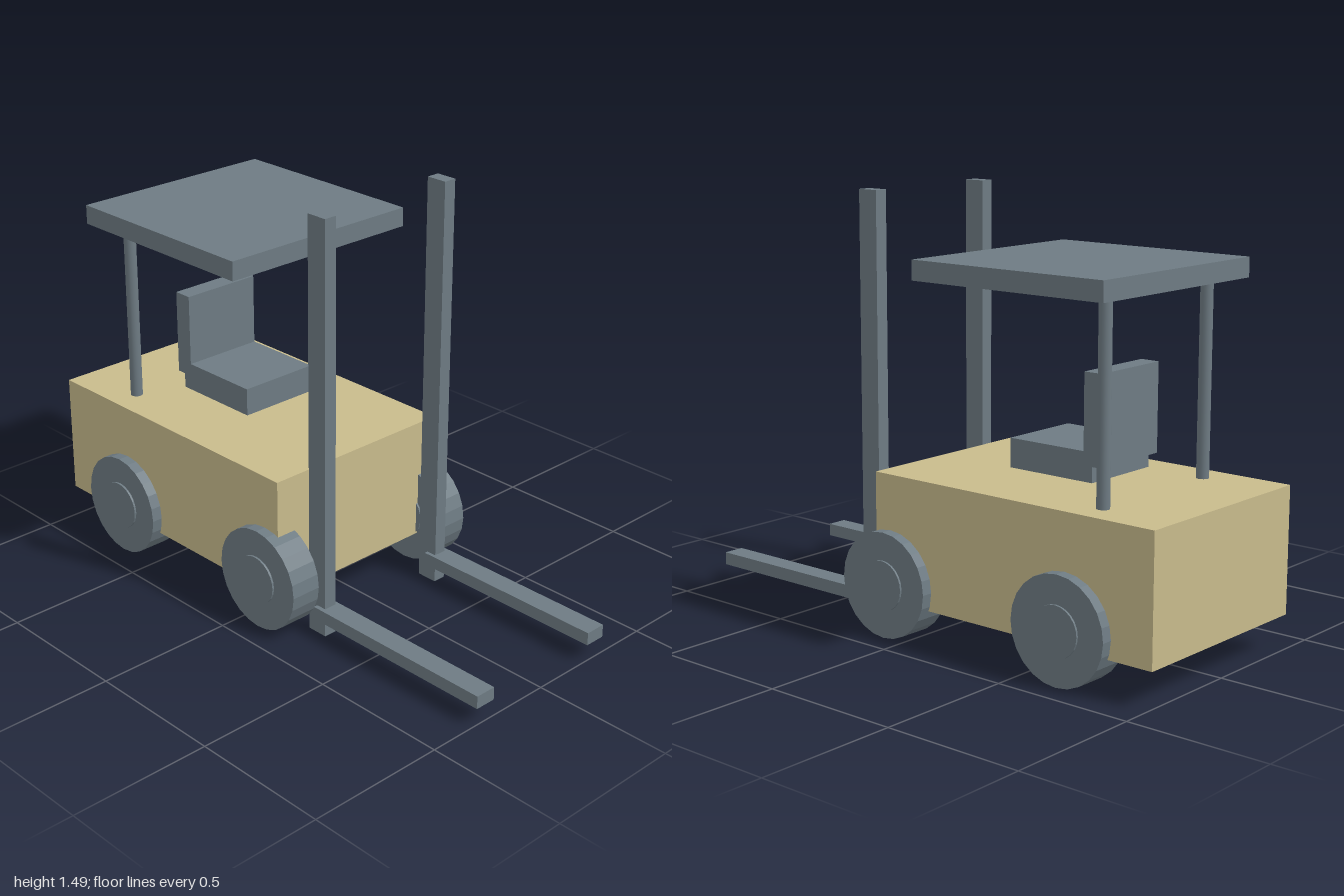
import * as THREE from 'three';

export function createModel() {
  const model = new THREE.Group();
  model.name = 'forklift';
  const tan = new THREE.MeshStandardMaterial({ color: 0xc8bb8c });
  tan.name = 'tan paint';
  const grey = new THREE.MeshStandardMaterial({ color: 0x6e7b83 });
  grey.name = 'slate grey';

  function add(name, geometry, material, parent = model) {
    const mesh = new THREE.Mesh(geometry, material);
    mesh.name = name;
    parent.add(mesh);
    return mesh;
  }

  // Box given by its limits on each axis
  function box(name, [x0, x1], [y0, y1], [z0, z1], material) {
    const mesh = add(name, new THREE.BoxGeometry(x1 - x0, y1 - y0, z1 - z0), material);
    mesh.position.set((x0 + x1) / 2, (y0 + y1) / 2, (z0 + z1) / 2);
    return mesh;
  }

  // Faceted cylinder lying along x
  function disc(radius, width) {
    return new THREE.CylinderGeometry(radius, radius, width, 24).toNonIndexed().rotateZ(Math.PI / 2);
  }
  const faceted = (geometry) => {
    geometry.computeVertexNormals();
    return geometry;
  };

  // Body, seat and roof
  box('body', [-0.375, 0.375], [0.12, 0.56], [-1, 0.15], tan);
  box('seatCushion', [-0.152, 0.152], [0.597, 0.697], [-0.592, -0.252], grey);
  box('seatBack', [-0.152, 0.152], [0.65, 0.955], [-0.626, -0.557], grey);
  box('roof', [-0.39, 0.39], [1.222, 1.29], [-0.81, -0.035], grey);

  const tyre = faceted(disc(0.184, 0.115));
  const hub = faceted(disc(0.087, 0.13));
  const post = new THREE.CylinderGeometry(0.022, 0.022, 0.67, 16);

  for (const s of [1, -1]) {
    const side = s > 0 ? 'left' : 'right';
    const span = (a, b) => (s > 0 ? [a, b] : [-b, -a]);

    // Mast rail and fork
    box(side + 'Mast', span(0.245, 0.293), [0, 1.492], [0.215, 0.293], grey);
    box(side + 'Fork', span(0.231, 0.309), [0.06, 0.106], [0.255, 1], grey);

    // Rear roof post
    add(side + 'RoofPost', post, grey).position.set(s * 0.27, 0.89, -0.728);

    // Wheels
    for (const [end, z] of [['Front', 0.085], ['Rear', -0.66]]) {
      const wheel = new THREE.Group();
      wheel.name = side + end + 'Wheel';
      wheel.position.set(s * 0.357, 0.184, z);
      add('tyre', tyre, grey, wheel);
      add('hub', hub, grey, wheel);
      model.add(wheel);
    }
  }
  return model;
}
